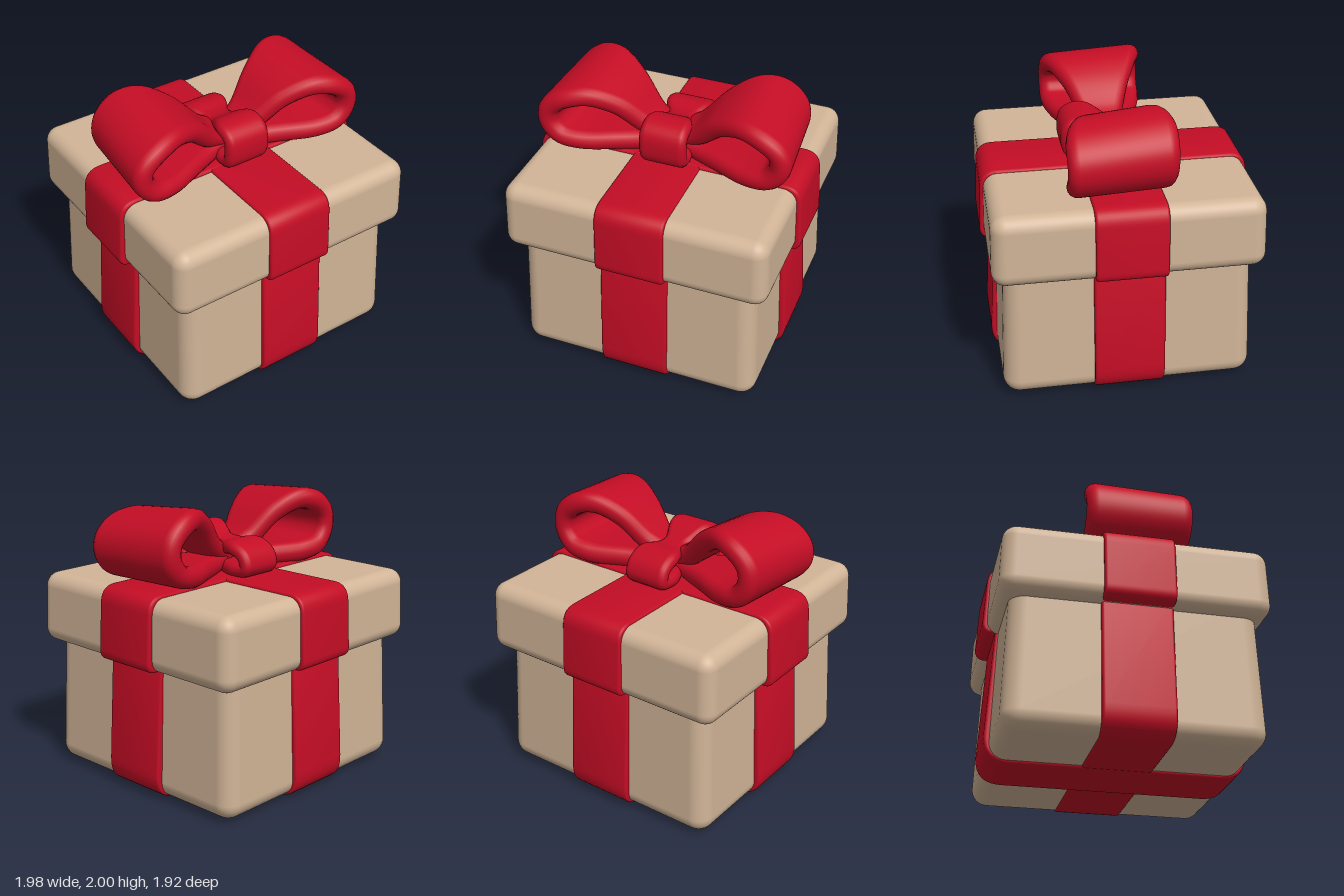
import * as THREE from 'three';
import { RoundedBoxGeometry } from 'three/addons/geometries/RoundedBoxGeometry.js';
import { toCreasedNormals } from 'three/addons/utils/BufferGeometryUtils.js';

const paper = new THREE.MeshStandardMaterial({ color: 0xd2b598 });
paper.name = 'tan paper';
const ribbon = new THREE.MeshStandardMaterial({ color: 0xc40d25 });
ribbon.name = 'red ribbon';

function addMesh(parent, name, geometry, material) {
  const mesh = new THREE.Mesh(geometry, material);
  mesh.name = name;
  parent.add(mesh);
  return mesh;
}

// Rounded box from y0 to y1 whose sides lean in towards the top
function taperedBox(halfX, halfZ, y0, y1, radius, topScale) {
  const g = new RoundedBoxGeometry(halfX * 2, y1 - y0, halfZ * 2, 5, radius);
  g.translate(0, (y0 + y1) / 2, 0);
  const p = g.attributes.position;
  for (let i = 0; i < p.count; i++) {
    const s = THREE.MathUtils.lerp(1, topScale, (p.getY(i) - y0) / (y1 - y0));
    p.setX(i, p.getX(i) * s);
    p.setZ(i, p.getZ(i) * s);
  }
  return g;
}

// Wrapped band: rounded trapezoid outline extruded to the ribbon width
function band(bottom, top, y0, y1, rBottom, rTop) {
  const corners = [[-bottom, y0, rBottom], [bottom, y0, rBottom], [top, y1, rTop], [-top, y1, rTop]]
    .map(([x, y, r]) => ({ p: new THREE.Vector2(x, y), r }));
  const shape = new THREE.Shape();
  corners.forEach(({ p, r }, i) => {
    const towards = (q) => q.clone().sub(p).setLength(r).add(p);
    const a = towards(corners[(i + 3) % 4].p);
    const b = towards(corners[(i + 1) % 4].p);
    if (i === 0) shape.moveTo(a.x, a.y);
    else shape.lineTo(a.x, a.y);
    shape.quadraticCurveTo(p.x, p.y, b.x, b.y);
  });
  shape.closePath();
  const bevel = 0.018, width = 0.49;
  const g = new THREE.ExtrudeGeometry(shape, {
    depth: width - 2 * bevel, bevelEnabled: true, bevelSize: bevel, bevelThickness: bevel,
    bevelOffset: -bevel, bevelSegments: 3, curveSegments: 10,
  });
  g.translate(0, 0, -width / 2 + bevel);
  return toCreasedNormals(g, 0.7);
}

// Thick round-edged strip swept along a closed path, its width lying along the side axis
function sweepStrip(points, side, halfWidth, radius, steps) {
  const curve = new THREE.CatmullRomCurve3(points, true);
  const ring = [];
  for (const end of [0, 1]) {
    for (let k = 0; k <= 8; k++) ring.push({ a: -Math.PI / 2 + Math.PI * (end + k / 8), sign: end ? -1 : 1 });
  }
  const n = ring.length, pos = [], index = [];
  for (let i = 0; i < steps; i++) {
    const p = curve.getPoint(i / steps);
    const normal = side.clone().cross(curve.getTangent(i / steps)).normalize();
    const core = halfWidth(p) - radius;
    for (const { a, sign } of ring) {
      const v = p.clone()
        .addScaledVector(side, sign * core + radius * Math.cos(a))
        .addScaledVector(normal, radius * Math.sin(a));
      pos.push(v.x, v.y, v.z);
    }
    for (let j = 0; j < n; j++) {
      const i2 = (i + 1) % steps, j2 = (j + 1) % n;
      const a = i * n + j, b = i2 * n + j, c = i2 * n + j2, d = i * n + j2;
      index.push(a, b, c, a, c, d);
    }
  }
  const g = new THREE.BufferGeometry();
  g.setAttribute('position', new THREE.Float32BufferAttribute(pos, 3));
  g.setIndex(index);
  return g;
}

// Teardrop bow loop that flares away from the knot
function bowLoop(sx) {
  const path = [
    [0.04, 1.56], [0.2, 1.66], [0.37, 1.82], [0.55, 1.9], [0.7, 1.87], [0.8, 1.78],
    [0.81, 1.67], [0.74, 1.57], [0.6, 1.53], [0.4, 1.52], [0.18, 1.52],
  ].map(([x, y]) => new THREE.Vector3(sx * x, y, 0.035));
  const g = sweepStrip(path, new THREE.Vector3(0, 0, 1),
    (p) => 0.12 + 0.25 * THREE.MathUtils.smoothstep(Math.abs(p.x), 0, 0.75), 0.075, 72);
  // Lean: the back of the loop sits higher and further in
  const v = g.attributes.position;
  for (let i = 0; i < v.count; i++) {
    const x = v.getX(i), y = v.getY(i), z = v.getZ(i);
    v.setX(i, x + sx * 0.08 * z * Math.min(1, Math.abs(x) / 0.8));
    v.setY(i, y - 0.08 * z * Math.max(0, (y - 1.45) / 0.5));
  }
  g.computeVertexNormals();
  return g;
}

// Knot band, pinched in the middle, with a taller bulge in front
function knotBand() {
  const path = [
    [0.31, 1.6], [0.29, 1.7], [0.18, 1.73], [0.04, 1.66], [-0.08, 1.64], [-0.2, 1.65],
    [-0.3, 1.6], [-0.32, 1.52], [-0.2, 1.5], [0, 1.5], [0.2, 1.5], [0.29, 1.52],
  ].map(([z, y]) => new THREE.Vector3(0, y, z));
  const g = sweepStrip(path, new THREE.Vector3(1, 0, 0),
    (p) => 0.1 + 0.07 * THREE.MathUtils.smoothstep(Math.abs(p.z), 0, 0.22), 0.05, 72);
  g.computeVertexNormals();
  return g;
}

export function createModel() {
  const gift = new THREE.Group();
  gift.name = 'giftBox';

  addMesh(gift, 'boxBody', taperedBox(0.885, 0.88, 0.018, 1.15, 0.12, 0.955), paper);
  addMesh(gift, 'lid', taperedBox(0.955, 0.93, 0.935, 1.442, 0.1, 0.985), paper);

  // Ribbons crossing around the body and the lid
  const bands = new THREE.Group();
  bands.name = 'ribbonBands';
  gift.add(bands);
  addMesh(bands, 'bodyBandAcross', band(0.935, 0.875, 0.005, 1.0, 0.2, 0.02), ribbon);
  addMesh(bands, 'lidBandAcross', band(0.995, 0.965, 0.94, 1.462, 0.08, 0.12), ribbon);
  addMesh(bands, 'bodyBandFrontToBack', band(0.925, 0.865, 0, 1.0, 0.2, 0.02), ribbon).rotation.y = Math.PI / 2;
  addMesh(bands, 'lidBandFrontToBack', band(0.962, 0.935, 0.942, 1.46, 0.08, 0.12), ribbon).rotation.y = Math.PI / 2;

  // Bow
  const bow = new THREE.Group();
  bow.name = 'bow';
  gift.add(bow);
  addMesh(bow, 'leftLoop', bowLoop(1), ribbon);
  addMesh(bow, 'rightLoop', bowLoop(-1), ribbon);
  addMesh(bow, 'knot', knotBand(), ribbon);

  return gift;
}
